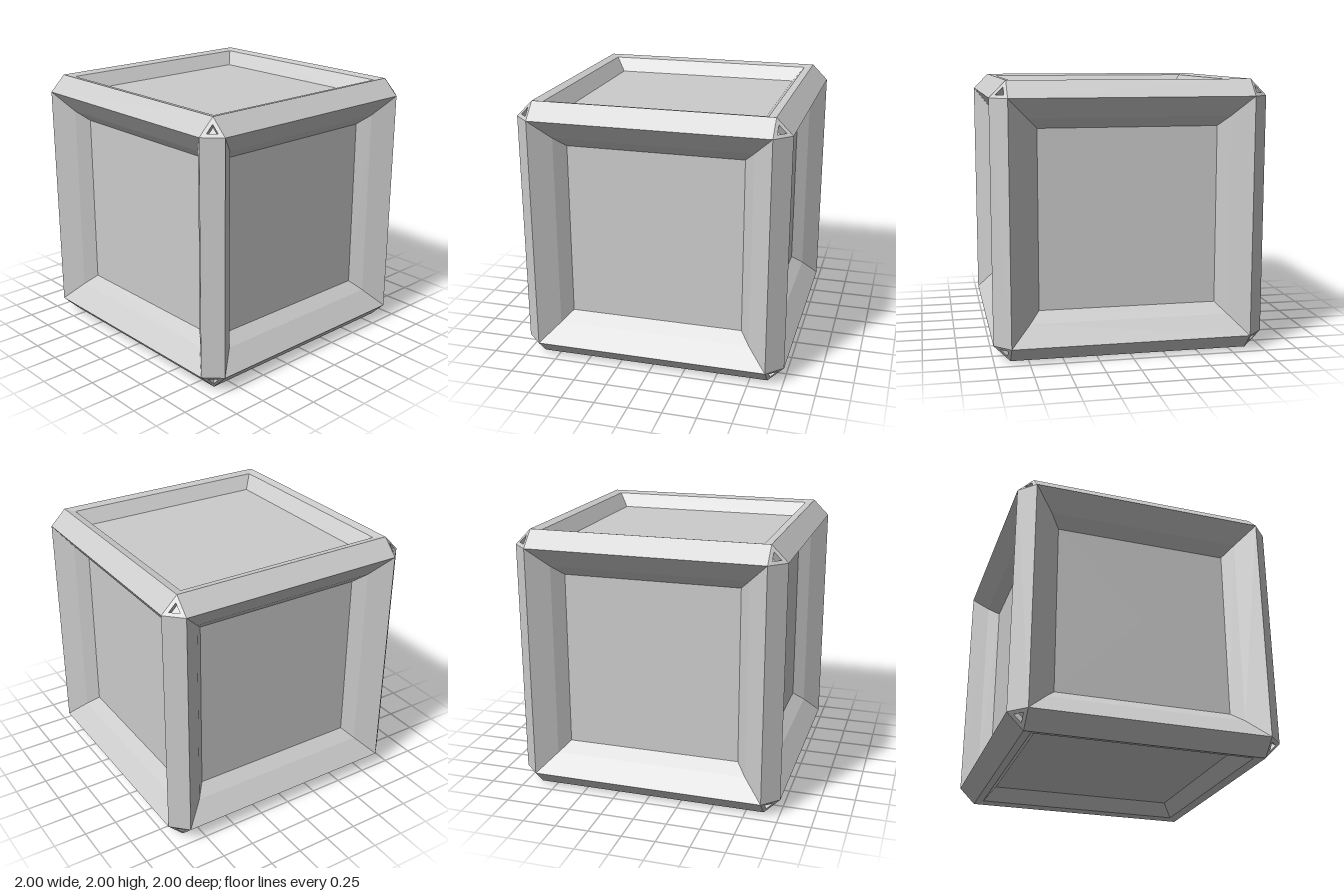
import * as THREE from 'three';

const INNER = 0.88;              // where the edge chamfers begin
const MID = (1 + INNER) / 2;     // middle of a chamfer
const material = new THREE.MeshStandardMaterial({ color: 0xcccccc, flatShading: true });

function mesh(geometry, name) {
  const m = new THREE.Mesh(geometry, material);
  m.name = name;
  return m;
}

// Square recessed face pointing up: profile of [half width, height], outside to centre
function recessedFace(profile) {
  const points = profile.map(([w, h]) => new THREE.Vector2(w * Math.SQRT2, h));
  return new THREE.LatheGeometry(points, 4, Math.PI / 4);
}

function triangle(radius, Type = THREE.Shape) {
  const t = new Type();
  for (let i = 0; i < 3; i++) {
    const a = Math.PI / 2 + (i * Math.PI * 2) / 3;
    const x = Math.cos(a) * radius, y = Math.sin(a) * radius;
    if (i === 0) t.moveTo(x, y); else t.lineTo(x, y);
  }
  t.closePath();
  return t;
}

export function createModel() {
  const model = new THREE.Group();
  model.name = 'chamferedCrate';
  const body = new THREE.Group();
  body.name = 'crateBody';
  body.position.y = 1;
  model.add(body);

  // Four side panels with a deep, two-step bevel
  const sideGeometry = recessedFace([[INNER, 1], [0.735, 0.886], [0.66, 0.8], [0, 0.8]]);
  ['front', 'left', 'back', 'right'].forEach((side, i) => {
    const panel = mesh(sideGeometry, side + 'Panel');
    panel.rotation.set(Math.PI / 2, i * Math.PI / 2, 0, 'YXZ');
    body.add(panel);
  });

  // Top and bottom panels with a shallow lip and a sunken floor
  const lidGeometry = recessedFace([[INNER, 1], [0.816, 0.986], [0.735, 0.884], [0, 0.884]]);
  const top = mesh(lidGeometry, 'topPanel');
  const bottom = mesh(lidGeometry, 'bottomPanel');
  bottom.rotation.x = Math.PI;
  body.add(top, bottom);

  // Twelve chamfered edges, four around each axis
  const edgeGeometry = new THREE.PlaneGeometry(2 * INNER, (1 - INNER) * Math.SQRT2);
  edgeGeometry.translate(0, 0, MID * Math.SQRT2);
  const axes = { x: [0, 0, 0], y: [0, 0, Math.PI / 2], z: [0, Math.PI / 2, 0] };
  for (const [axis, rotation] of Object.entries(axes)) {
    const ring = new THREE.Group();
    ring.name = axis + 'Edges';
    ring.rotation.set(...rotation);
    for (let i = 0; i < 4; i++) {
      const edge = mesh(edgeGeometry, 'edgeChamfer');
      edge.rotation.x = Math.PI / 4 + (i * Math.PI) / 2;
      ring.add(edge);
    }
    body.add(ring);
  }

  // Eight corner plates, each with a triangular pocket
  const radius = (1 - INNER) * Math.sqrt(2 / 3);
  const depth = 0.06;
  const plate = triangle(radius);
  plate.holes.push(triangle(radius * 0.45, THREE.Path));
  const plateGeometry = new THREE.ExtrudeGeometry(plate, { depth, bevelEnabled: false });
  plateGeometry.translate(0, 0, -depth);
  const floorGeometry = new THREE.ShapeGeometry(triangle(radius * 0.5));
  floorGeometry.translate(0, 0, -depth + 0.002);
  const centre = (1 + 2 * INNER) / 3;
  for (const x of [-1, 1]) for (const y of [-1, 1]) for (const z of [-1, 1]) {
    const corner = new THREE.Group();
    corner.name = 'cornerPlate';
    const normal = new THREE.Vector3(x, y, z).normalize();
    const up = new THREE.Vector3(0, y, 0).projectOnPlane(normal).normalize();
    const side = new THREE.Vector3().crossVectors(up, normal);
    corner.quaternion.setFromRotationMatrix(new THREE.Matrix4().makeBasis(side, up, normal));
    corner.position.set(x, y, z).multiplyScalar(centre);
    corner.add(mesh(plateGeometry, 'cornerRim'), mesh(floorGeometry, 'cornerPocketFloor'));
    body.add(corner);
  }
  return model;
}
